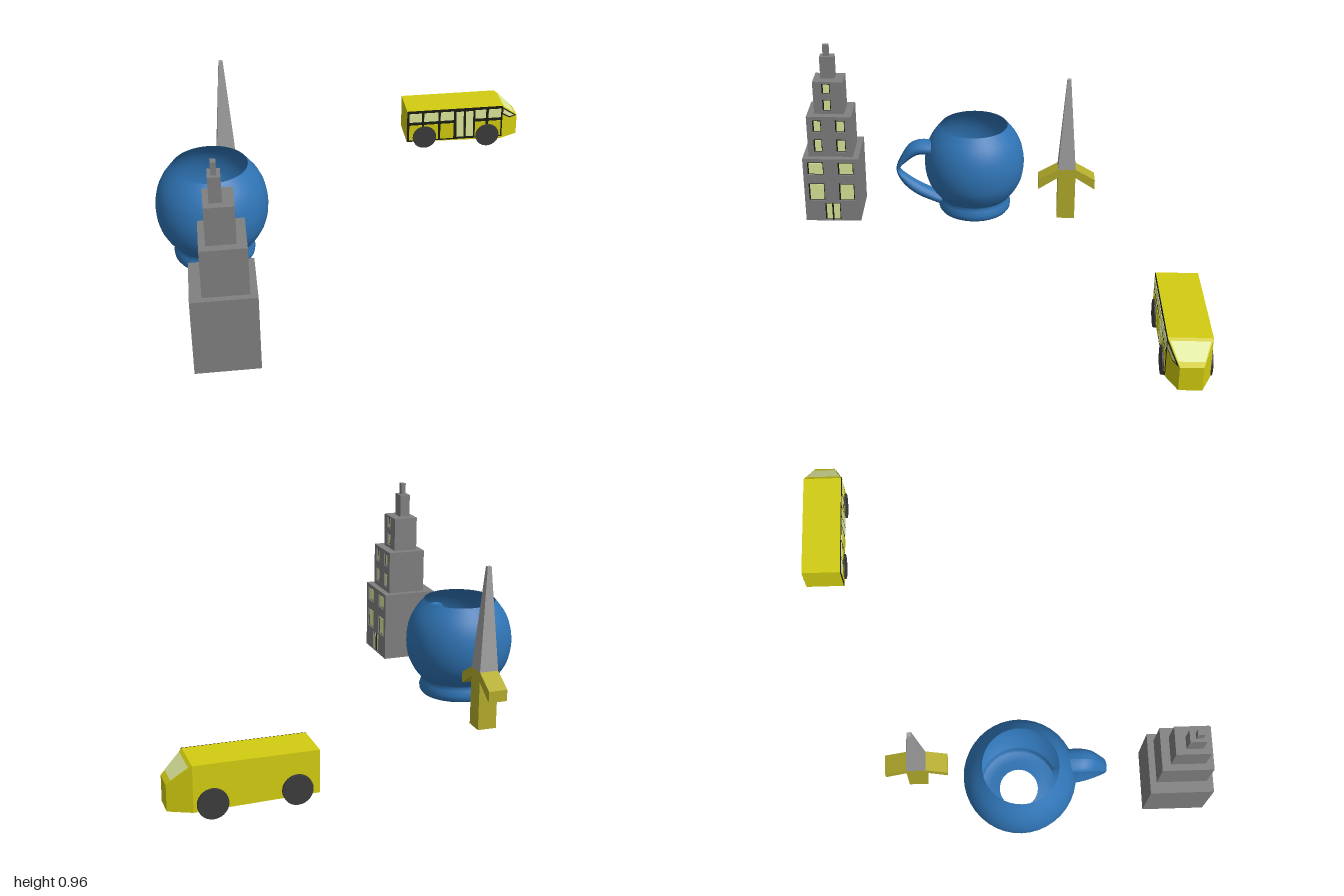
import * as THREE from 'three';

const GREY = 0x808080, BLUE = 0x2f74b5, PANE = 0xdfe99c, DARK = 0x1c1c16, YELLOW = 0xd2cc10, OCHRE = 0xb5ad2c;

const mat = (color, flat = true) =>
  new THREE.MeshStandardMaterial({ color, flatShading: flat, side: THREE.DoubleSide });

function add(group, name, geometry, color, flat = true) {
  const mesh = new THREE.Mesh(geometry, mat(color, flat));
  mesh.name = name;
  group.add(mesh);
  return mesh;
}

// Box given by its limits on each axis
function boxGeo(x0, x1, y0, y1, z0, z1) {
  return new THREE.BoxGeometry(x1 - x0, y1 - y0, z1 - z0)
    .translate((x0 + x1) / 2, (y0 + y1) / 2, (z0 + z1) / 2);
}

// Move every vertex of a geometry by a rule
function reshape(geo, rule) {
  const p = geo.attributes.position, v = new THREE.Vector3();
  for (let i = 0; i < p.count; i++) {
    rule(v.fromBufferAttribute(p, i));
    p.setXYZ(i, v.x, v.y, v.z);
  }
  geo.computeVertexNormals();
  return geo;
}

// Thin four-cornered panel
function quadGeo(corners) {
  const g = new THREE.BufferGeometry();
  g.setAttribute('position', new THREE.Float32BufferAttribute(corners.flat(), 3));
  g.setIndex([0, 1, 2, 0, 2, 3]);
  g.computeVertexNormals();
  return g;
}

function createTower() {
  const g = new THREE.Group();
  g.name = 'tower';
  const depth = 0.012;
  // x0, x1, y0, y1, z0, z1, windows as [z0, z1, y0, y1]
  const tiers = [
    [-0.853, -0.565, 0, 0.37, 0.702, 1.0, [
      [0.89, 0.977, 0.123, 0.225], [0.73, 0.814, 0.123, 0.225],
      [0.89, 0.977, 0.276, 0.35], [0.73, 0.814, 0.276, 0.35],
      [0.81, 0.894, 0.003, 0.107]]],
    [-0.8, -0.598, 0.37, 0.6, 0.733, 0.97, [
      [0.893, 0.94, 0.512, 0.58], [0.768, 0.82, 0.512, 0.58],
      [0.893, 0.94, 0.396, 0.47], [0.768, 0.82, 0.396, 0.47]]],
    [-0.77, -0.641, 0.6, 0.78, 0.773, 0.932, [
      [0.841, 0.886, 0.712, 0.77], [0.841, 0.886, 0.616, 0.68]]],
    [-0.745, -0.69, 0.78, 0.9, 0.82, 0.895, []],
    [-0.73, -0.706, 0.9, 0.96, 0.846, 0.878, []],
  ];
  for (const [x0, x1, y0, y1, z0, z1, windows] of tiers) {
    const back = windows.length ? x1 - depth : x1;
    add(g, 'towerTier', boxGeo(x0, back, y0, y1, z0, z1), GREY);
    if (!windows.length) continue;
    // Window wall with real openings
    const rect = (path, a, b, c, d) =>
      path.moveTo(-b, c).lineTo(-a, c).lineTo(-a, d).lineTo(-b, d).closePath();
    const wall = rect(new THREE.Shape(), z0, z1, y0, y1);
    for (const [a, b, c, d] of windows) {
      wall.holes.push(rect(new THREE.Path(), a, b, c, d));
      add(g, 'windowFrame', boxGeo(back, back + 0.003, c, d, a, b), DARK);
      add(g, 'windowPane', boxGeo(back, back + 0.005, c + 0.004, d - 0.008, a + 0.005, b - 0.008), PANE);
    }
    const geo = new THREE.ExtrudeGeometry(wall, { depth, bevelEnabled: false });
    add(g, 'windowWall', geo.rotateY(Math.PI / 2).translate(back, 0, 0), GREY);
  }
  add(g, 'doorDivider', boxGeo(-0.575, -0.567, 0.003, 0.107, 0.848, 0.856), DARK);
  return g;
}

function createMug() {
  const g = new THREE.Group();
  g.name = 'mug';
  // Foot ring, open underneath, then the round belly
  const foot = [[0.095, 0.02], [0.14, 0.012], [0.185, 0.012], [0.194, 0.025], [0.197, 0.045], [0.19, 0.07]];
  const belly = [[0.184, 0.087], [0.223, 0.135], [0.256, 0.2], [0.269, 0.285], [0.259, 0.37], [0.23, 0.44], [0.18, 0.505]];
  const v2 = ([x, y]) => new THREE.Vector2(x, y);
  const profile = [...foot.map(v2), ...new THREE.SplineCurve(belly.map(v2)).getPoints(20)];
  const body = add(g, 'mugBody', new THREE.LatheGeometry(profile, 40), BLUE, false);
  body.position.set(-0.733, 0, 0.09);

  // Handle: elliptical sections [z, y, width, thickness] swept around the loop
  const path = [
    [0.29, 0.385, 0.12, 0.075], [0.40, 0.385, 0.115, 0.075], [0.465, 0.325, 0.085, 0.045],
    [0.502, 0.26, 0.062, 0.02], [0.465, 0.2, 0.07, 0.05], [0.39, 0.14, 0.09, 0.065], [0.27, 0.085, 0.1, 0.06]];
  const line = new THREE.CatmullRomCurve3(path.map(([z, y]) => new THREE.Vector3(0, y, z)));
  const size = new THREE.SplineCurve(path.map(([, , w, t]) => new THREE.Vector2(w, t)));
  const tube = new THREE.CylinderGeometry(1, 1, 1, 16, 28);
  reshape(tube, (v) => {
    const t = THREE.MathUtils.clamp(0.5 - v.y, 0, 1);
    const c = line.getPoint(t), d = line.getTangent(t), s = size.getPoint(t);
    const k = v.z * s.y / 2;
    v.set(-0.69 - v.x * s.x / 2, c.y + d.z * k, c.z - d.y * k);
  });
  add(g, 'mugHandle', tube, BLUE, false);
  return g;
}

function createChapel() {
  const g = new THREE.Group();
  g.name = 'chapel';
  const cx = -0.647, cz = -0.408, half = 0.047;
  add(g, 'chapelColumn', boxGeo(cx - half, cx + half, 0.012, 0.26, cz - half, cz + half), OCHRE);
  // Sloping eaves on both sides, with a flat middle under the spire
  const s = new THREE.Shape([
    [-0.151, 0.187], [-half, 0.255], [half, 0.255], [0.151, 0.187],
    [0.151, 0.243], [half, 0.303], [-half, 0.303], [-0.151, 0.243],
  ].map(([x, y]) => new THREE.Vector2(x, y)));
  const roof = new THREE.ExtrudeGeometry(s, { depth: 2 * half, bevelEnabled: false });
  add(g, 'chapelEaves', roof.rotateY(Math.PI / 2).translate(cx - half, 0, cz), OCHRE);
  const r = Math.SQRT2;
  const spire = new THREE.CylinderGeometry(0.01 * r, half * r, 0.503, 4).rotateY(Math.PI / 4);
  add(g, 'chapelSpire', spire.translate(cx, 0.5535, cz), 0xa0a0a0);
  return g;
}

function createBus() {
  const g = new THREE.Group();
  g.name = 'bus';
  const z0 = -0.987, z1 = -0.79, zc = (z0 + z1) / 2;
  add(g, 'busBody', reshape(boxGeo(0.365, 0.9, 0.052, 0.255, z0, z1), (v) => {
    if (v.x < 0.5 && v.y < 0.1) v.y = 0.065;
  }), YELLOW);
  // Nose narrows and slopes down to the front
  add(g, 'busNose', reshape(boxGeo(0.9, 1.0, 0.052, 0.255, z0, z1), (v) => {
    if (v.x < 0.95) return;
    v.z = zc + Math.sign(v.z - zc) * 0.052;
    if (v.y > 0.1) v.y = 0.168;
  }), YELLOW);

  // Glazed side: dark frame, upper panes, lower panels and a double door
  add(g, 'sideFrame', boxGeo(0.365, 0.905, 0.066, 0.255, z1, z1 + 0.003), DARK);
  const bays = [[0.377, 0.447], [0.46, 0.54], [0.553, 0.628], [0.75, 0.81], [0.825, 0.896]];
  for (const [a, b] of bays) {
    add(g, 'sideWindow', boxGeo(a, b, 0.187, 0.24, z1, z1 + 0.005), PANE);
    add(g, 'sidePanel', boxGeo(a, b, 0.075, 0.168, z1, z1 + 0.005), YELLOW);
  }
  for (const [a, b] of [[0.64, 0.682], [0.694, 0.736]]) {
    const door = reshape(boxGeo(a, b, 0.08, 0.236, z1, z1 + 0.005), (v) => { if (v.y < 0.1) v.x += 0.006; });
    add(g, 'doorPane', door, PANE);
  }

  // Point on the nose at distance u from the roof edge (0..1); w runs across (-1..1)
  const slope = (u, w, lift) => [0.9 + 0.1 * u + lift, 0.255 - 0.087 * u + lift, zc + w * (0.0985 - 0.0465 * u)];
  add(g, 'windscreen', quadGeo([slope(0.12, -0.93, 0.002), slope(0.12, 0.93, 0.002),
    slope(0.8, 0.93, 0.002), slope(0.8, -0.93, 0.002)]), PANE);
  // Small quarter window on the nose's glazed side
  const cheek = (u, y, lift) => [0.9 + 0.1 * u + lift * 0.4, y, z1 - 0.0465 * u + lift];
  add(g, 'quarterFrame', quadGeo([cheek(0, 0.25, 0.002), cheek(0, 0.205, 0.002),
    cheek(0.5, 0.168, 0.002), cheek(0.95, 0.17, 0.002)]), DARK);
  add(g, 'quarterWindow', quadGeo([cheek(0.07, 0.236, 0.004), cheek(0.07, 0.21, 0.004),
    cheek(0.5, 0.176, 0.004), cheek(0.8, 0.176, 0.004)]), PANE);

  // Wheels
  for (const [x, y] of [[0.463, 0.094], [0.82, 0.083]]) {
    for (const z of [z0 + 0.012, z1 - 0.012]) {
      const wheel = new THREE.CylinderGeometry(0.066, 0.066, 0.05, 28).rotateX(Math.PI / 2);
      add(g, 'wheel', wheel.translate(x, y, z), 0x3c3c3c);
    }
  }
  return g;
}

export function createModel() {
  const model = new THREE.Group();
  model.name = 'toySet';
  model.add(createTower(), createMug(), createChapel(), createBus());
  return model;
}
